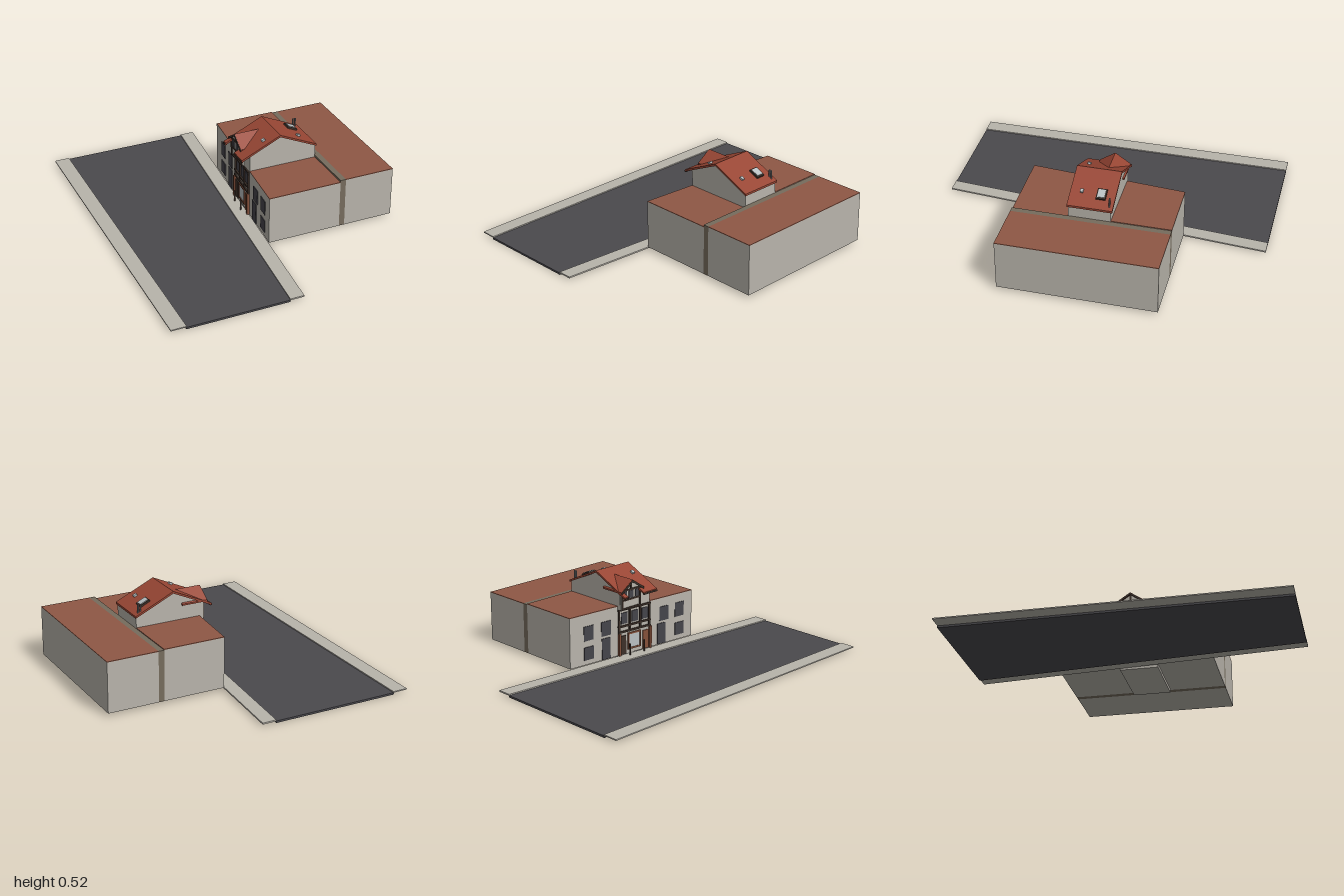
import * as THREE from 'three';

const mat = (name, color) => {
  const m = new THREE.MeshStandardMaterial({ color });
  m.name = name;
  return m;
};

export function createModel() {
  const root = new THREE.Group();
  root.name = 'streetWithTownhouse';
  const M = {
    wall: mat('plaster', 0xb8b4ab),
    road: mat('asphalt', 0x4a494d),
    roof: mat('roofTile', 0x984634),
    flat: mat('flatRoofRed', 0x8e5745),
    strip: mat('jointBrown', 0x766c5d),
    dark: mat('darkGlass', 0x45444a),
    timber: mat('darkTimber', 0x3d3029),
    rust: mat('rustFrame', 0x84503a),
    glass: mat('paleGlass', 0xb9c0c2),
    metal: mat('greyMetal', 0x77787a),
  };
  const add = (name, geo, m, parent = root) => {
    const mesh = new THREE.Mesh(geo, m);
    mesh.name = name;
    parent.add(mesh);
    return mesh;
  };
  const box = (name, x0, x1, y0, y1, z0, z1, m, parent = root) => {
    const b = add(name, new THREE.BoxGeometry(x1 - x0, y1 - y0, z1 - z0), m, parent);
    b.position.set((x0 + x1) / 2, (y0 + y1) / 2, (z0 + z1) / 2);
    return b;
  };
  const extrude = (pts, depth) => new THREE.ExtrudeGeometry(
    new THREE.Shape(pts.map(p => new THREE.Vector2(...p))), { depth, bevelEnabled: false });
  // Prism with an (x, z) plan, between two heights
  const plan = (name, pts, y0, y1, m) => {
    const g = extrude(pts.map(([x, z]) => [x, -z]), y1 - y0);
    g.rotateX(-Math.PI / 2);
    add(name, g, m).position.y = y0;
  };
  // Prism with an (x, y) profile, along z
  const alongZ = (name, pts, z0, z1, m) => {
    add(name, extrude(pts, z1 - z0), m).position.z = z0;
  };
  // Prism with a (z, y) profile, along x
  const alongX = (name, pts, x0, x1, m) => {
    const g = extrude(pts, x1 - x0);
    g.rotateY(-Math.PI / 2);
    add(name, g, m).position.x = x1;
  };

  // Road and pavements
  plan('road', [[-0.735, -1], [0.046, -1], [-0.118, 1], [-0.735, 1]], 0, 0.012, M.road);
  plan('farPavement', [[-0.825, -1], [-0.733, -1], [-0.733, 1], [-0.825, 1]], 0.012, 0.019, M.wall);
  plan('nearPavement', [[0.046, -1], [0.132, -1], [-0.033, 1], [-0.118, 1]], 0.01, 0.019, M.wall);

  // Terrace blocks: the street wall follows the slanted pavement
  const front = z => 0.052 - 0.083 * z;
  const block = (name, z0, z1, top) => {
    const p = [[front(z0), z0], [0.475, z0], [0.475, z1], [front(z1), z1]];
    plan(name + 'Walls', p, 0.02, top - 0.004, M.wall);
    plan(name + 'Roof', p, top - 0.004, top, M.flat);
  };
  block('leftTerrace', 0.105, 0.44, 0.318);
  block('rightTerrace', -0.5, -0.145, 0.335);
  plan('houseLower', [[front(-0.145), -0.145], [0.475, -0.145], [0.475, 0.105], [front(0.105), 0.105]],
    0.02, 0.312, M.wall);
  box('cellar', 0.06, 0.465, 0, 0.02, -0.13, 0.1, M.wall);
  box('jointStrip', 0.475, 0.51, 0.02, 0.33, -0.5, 0.44, M.strip);
  box('rearWalls', 0.51, 0.823, 0.02, 0.326, -0.5, 0.44, M.wall);
  box('rearRoof', 0.51, 0.823, 0.326, 0.33, -0.5, 0.44, M.flat);

  // House gable storey
  alongZ('houseGable', [[0.045, 0.312], [0.475, 0.312], [0.475, 0.402], [0.24, 0.508], [0.045, 0.418]],
    -0.145, 0.105, M.wall);

  // Main roof; the street eave is interrupted by the dormer
  const slope = x => 0.52 - 0.46 * Math.abs(x - 0.24);
  const slab = (name, x0, x1, z0, z1) => alongZ(name,
    [[x0, slope(x0) - 0.013], [x1, slope(x1) - 0.013], [x1, slope(x1)], [x0, slope(x0)]], z0, z1, M.roof);
  slab('streetSlope', 0.04, 0.24, -0.155, 0.112);
  slab('rearSlope', 0.24, 0.482, -0.155, 0.112);
  [[-0.155, -0.125], [0, 0.112]].forEach(([z0, z1]) => {
    slab('streetEave', -0.01, 0.04, z0, z1);
    box('eaveGutter', -0.014, -0.002, 0.39, 0.4, z0, z1, M.timber);
  });

  // Dormer
  const c = -0.062, e = 0.092, ridge = 0.492, eave = 0.43;
  alongX('dormerWall', [[c - 0.08, 0.312], [c + 0.08, 0.312], [c + 0.08, eave], [c, ridge - 0.01], [c - 0.08, eave]],
    0.036, 0.16, M.wall);
  [-1, 1].forEach(s => {
    const pts = (t, b) => [[c, ridge - b], [c + s * e, eave - b], [c + s * e, eave - t], [c, ridge - t]];
    alongX('dormerSlope', pts(0, 0.01), 0.02, 0.182, M.roof);
    alongX('dormerBargeboard', pts(0.002, 0.016), 0.017, 0.022, M.timber);
    box('dormerPost', 0.03, 0.04, 0.312, 0.43, c + s * 0.072 - 0.006, c + s * 0.072 + 0.006, M.timber);
  });
  [0.312, 0.365, 0.425].forEach(y => box('dormerBeam', 0.031, 0.038, y, y + 0.01, -0.14, 0.018, M.timber));
  box('dormerKingPost', 0.031, 0.038, 0.43, 0.48, c - 0.005, c + 0.005, M.timber);
  [-0.115, -0.062, -0.009].forEach(z =>
    box('dormerWindow', 0.033, 0.038, 0.378, 0.422, z - 0.018, z + 0.018, M.dark));

  // Street front details, aligned with the slanted wall
  const face = new THREE.Group();
  face.name = 'streetFront';
  face.position.x = 0.052;
  face.rotation.y = -Math.atan(0.083);
  root.add(face);
  const plate = (name, z0, z1, y0, y1, m, out = 0.004) => box(name, -out, 0.002, y0, y1, z0, z1, m, face);
  [-0.365, -0.235, 0.215, 0.34].forEach(z => plate('upperWindow', z - 0.035, z + 0.035, 0.17, 0.26, M.dark));
  [-0.365, 0.34].forEach(z => plate('lowerWindow', z - 0.035, z + 0.035, 0.05, 0.13, M.dark));
  [-0.235, 0.195].forEach(z => plate('frontDoor', z - 0.032, z + 0.032, 0.022, 0.155, M.dark));

  // Timber-framed house front
  [-0.138, -0.055, 0.025, 0.098].forEach(z => plate('timberPost', z - 0.006, z + 0.006, 0.165, 0.31, M.timber, 0.008));
  [0.16, 0.195, 0.3].forEach(y => plate('timberBeam', -0.145, 0.105, y, y + 0.011, M.timber, 0.009));
  [-0.097, -0.015, 0.062].forEach(z => plate('houseWindow', z - 0.024, z + 0.024, 0.215, 0.285, M.dark));
  plate('shopWindow', -0.06, 0.02, 0.055, 0.14, M.glass);
  plate('shopFrameTop', -0.07, 0.03, 0.14, 0.15, M.rust, 0.008);
  plate('shopFrameBase', -0.07, 0.03, 0.045, 0.055, M.rust, 0.008);
  [-0.065, 0.025].forEach(z => plate('shopFrameSide', z - 0.005, z + 0.005, 0.045, 0.15, M.rust, 0.008));
  plate('houseDoor', -0.13, -0.085, 0.022, 0.14, M.timber, 0.006);
  plate('sideDoor', 0.045, 0.088, 0.022, 0.14, M.rust, 0.006);
  [-0.138, 0.1].forEach(z => plate('porchPost', z - 0.007, z + 0.007, 0.02, 0.16, M.rust, 0.016));
  [-0.075, 0.035].forEach(z => box('bollard', -0.035, -0.027, 0.018, 0.09, z - 0.004, z + 0.004, M.timber, face));

  // Roof fittings, lying on the slopes
  const fitting = (name, x, z, w, d, h, m) => {
    const b = add(name, new THREE.BoxGeometry(w, h, d), m);
    b.position.set(x, slope(x) + h / 2 - 0.002, z);
    b.rotation.z = Math.atan(0.46) * (x < 0.24 ? 1 : -1);
  };
  fitting('skylightFrame', 0.395, -0.073, 0.068, 0.056, 0.014, M.timber);
  fitting('skylightGlass', 0.395, -0.073, 0.052, 0.042, 0.018, M.glass);
  [[0.39, 0.045], [0.15, 0.062]].forEach(([x, z]) => fitting('roofVent', x, z, 0.022, 0.018, 0.014, M.glass));
  [[0.442, -0.132], [0.456, -0.132]].forEach(([x, z]) => {
    const p = add('fluePipe', new THREE.CylinderGeometry(0.005, 0.005, 0.06, 10), M.metal);
    p.position.set(x, 0.44, z);
  });
  return root;
}
